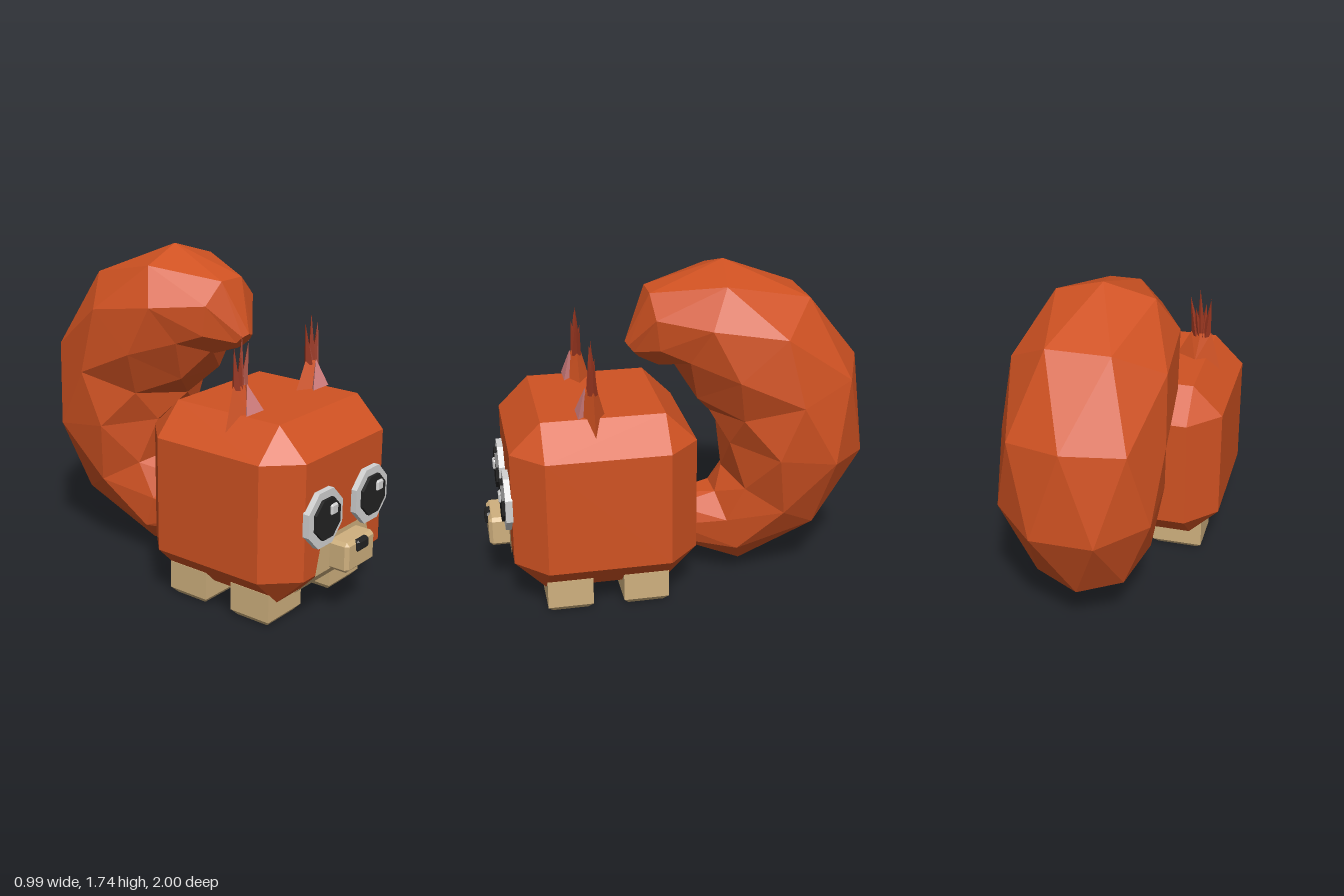
import * as THREE from 'three';
import { ConvexGeometry } from 'three/addons/geometries/ConvexGeometry.js';

const mat = (name, color) => {
  const m = new THREE.MeshStandardMaterial({ color });
  m.name = name;
  return m;
};
const V = (x, y, z) => new THREE.Vector3(x, y, z);

export function createModel() {
  const group = new THREE.Group();
  const fur = mat('orange fur', 0xd05222);
  const tuftRed = mat('dark red tuft', 0x98351f);
  const tan = mat('tan', 0xcfb07e);
  const white = mat('eye white', 0xd2d2d2);
  const black = mat('black', 0x222222);
  const pink = mat('inner ear pink', 0xdc8484);

  // Adds a faceted mesh
  const add = (name, geo, material) => {
    const g = geo.index ? geo.toNonIndexed() : geo;
    g.computeVertexNormals();
    const mesh = new THREE.Mesh(g, material);
    mesh.name = name;
    group.add(mesh);
    return mesh;
  };
  const hull = (name, pts, material) => add(name, new ConvexGeometry(pts), material);

  // Box from min to max with every edge cut off by c
  const chamferBox = (name, min, max, c, material) => {
    const pts = [];
    for (let full = 0; full < 3; full++)
      for (let k = 0; k < 8; k++) {
        const p = [0, 1, 2].map((a) => {
          const inset = a === full ? 0 : c;
          return (k >> a) & 1 ? max[a] - inset : min[a] + inset;
        });
        pts.push(V(...p));
      }
    return hull(name, pts, material);
  };

  chamferBox('body', [-0.495, 0.115, -0.075], [0.495, 1.04, 0.875], 0.16, fur);

  // Muzzle patch, folded over the lower front edge
  const patch = new THREE.BufferGeometry();
  patch.setAttribute('position', new THREE.Float32BufferAttribute([
    -0.195, 0.455, 0.88, 0.195, 0.455, 0.88,
    -0.245, 0.273, 0.88, 0.245, 0.273, 0.88,
    -0.2, 0.113, 0.72, 0.2, 0.113, 0.72,
  ], 3));
  patch.setIndex([0, 2, 1, 1, 2, 3, 2, 4, 3, 3, 4, 5]);
  add('muzzlePatch', patch, tan);

  chamferBox('snout', [-0.125, 0.27, 0.85], [0.125, 0.43, 0.985], 0.018, tan);
  chamferBox('nose', [-0.05, 0.365, 0.96], [0.05, 0.427, 1.0], 0.012, black);

  // Eyes
  const octagon = (name, x, y, r, z0, z1, material) => {
    const R = r / Math.cos(Math.PI / 8);
    const geo = new THREE.CylinderGeometry(R, R, z1 - z0, 8);
    geo.rotateY(Math.PI / 8).rotateX(Math.PI / 2).translate(x, y, (z0 + z1) / 2);
    add(name, geo, material);
  };
  for (const s of [-1, 1]) {
    const x = s * 0.204;
    octagon('eyeWhite', x, 0.575, 0.143, 0.87, 0.906, white);
    octagon('pupil', x, 0.577, 0.102, 0.9, 0.922, black);
    chamferBox('eyeGlint', [x + 0.012, 0.59, 0.91], [x + 0.068, 0.646, 0.934], 0.008, white);
  }

  // Feet with a bevelled sole
  for (const s of [-1, 1])
    for (const z of [0.6, 0.203]) {
      const pts = [];
      for (const [y, w, d] of [[0.18, 0.137, 0.118], [0.03, 0.137, 0.118], [0, 0.11, 0.092]])
        for (const a of [-1, 1])
          for (const b of [-1, 1]) pts.push(V(s * 0.266 + a * w, y, z + b * d));
      hull(z > 0.4 ? 'frontFoot' : 'backFoot', pts, tan);
    }

  // Ears with pink fronts and spiky tufts
  for (const s of [-1, 1]) {
    hull('ear', [
      V(s * 0.42, 0.93, 0.45), V(s * 0.165, 1.03, 0.45),
      V(s * 0.28, 1.03, 0.515), V(s * 0.28, 1.03, 0.385),
      V(s * 0.355, 1.18, 0.45), V(s * 0.245, 1.18, 0.45),
      V(s * 0.3, 1.18, 0.478), V(s * 0.3, 1.18, 0.425),
    ], fur);
    hull('innerEar', [
      V(s * 0.21, 1.045, 0.528), V(s * 0.347, 1.045, 0.528),
      V(s * 0.29, 1.19, 0.484), V(s * 0.28, 1.04, 0.47),
    ], pink);
    // base x, tip x, tip y, tip z
    for (const [bx, tx, ty, tz] of [
      [0.327, 0.35, 1.38, 0.45], [0.3, 0.288, 1.43, 0.45], [0.273, 0.235, 1.39, 0.45],
      [0.31, 0.32, 1.34, 0.47], [0.29, 0.27, 1.33, 0.43],
    ]) {
      const r = 0.026;
      hull('earTuft', [
        V(s * (bx - r), 1.16, 0.45), V(s * (bx + r), 1.16, 0.45),
        V(s * bx, 1.16, 0.45 - r), V(s * bx, 1.16, 0.45 + r),
        V(s * tx, ty, tz),
      ], tuftRed);
    }
  }

  // Tail rings: outer z, y, inner z, y, half width, centre x
  const rings = [
    [0.0, 0.16, 0.0, 0.44, 0.12, 0.01],
    [-0.36, 0.065, -0.22, 0.48, 0.2, 0.05],
    [-0.8, 0.28, -0.27, 0.6, 0.32, 0.06],
    [-0.995, 0.7, -0.275, 0.8, 0.385, 0.07],
    [-0.99, 1.19, -0.2, 0.93, 0.412, 0.07],
    [-0.68, 1.56, -0.1, 1.06, 0.385, 0.06],
    [-0.265, 1.74, -0.01, 1.2, 0.355, 0.05],
    [0.125, 1.6, 0.08, 1.22, 0.195, 0.04],
    [0.24, 1.33, 0.165, 1.245, 0.058, 0.04],
  ];
  const N = 8;
  const pos = [];
  const idx = [];
  // Alternate rings are turned by half a step
  rings.forEach(([oz, oy, iz, iy, w, cx], i) => {
    const odd = i % 2;
    const k = odd ? 1 / Math.cos(Math.PI / N) : 1;
    for (let j = 0; j < N; j++) {
      const a = ((j + odd * 0.5) / N) * Math.PI * 2;
      const c = (Math.cos(a) * k) / 2;
      pos.push(cx + Math.sin(a) * k * w,
        (oy + iy) / 2 + c * (oy - iy),
        (oz + iz) / 2 + c * (oz - iz));
    }
  });
  for (let i = 0; i < rings.length - 1; i++)
    for (let j = 0; j < N; j++) {
      const a = i * N + j, a1 = i * N + ((j + 1) % N);
      const c = a + N, c1 = a1 + N;
      if (i % 2) idx.push(a, c, c1, a, c1, a1);
      else idx.push(a, c, a1, a1, c, c1);
    }
  const last = (rings.length - 1) * N;
  for (let j = 1; j < N - 1; j++) {
    idx.push(0, j, j + 1);
    idx.push(last, last + j + 1, last + j);
  }
  const tail = new THREE.BufferGeometry();
  tail.setAttribute('position', new THREE.Float32BufferAttribute(pos, 3));
  tail.setIndex(idx);
  add('tail', tail, fur);

  return group;
}
